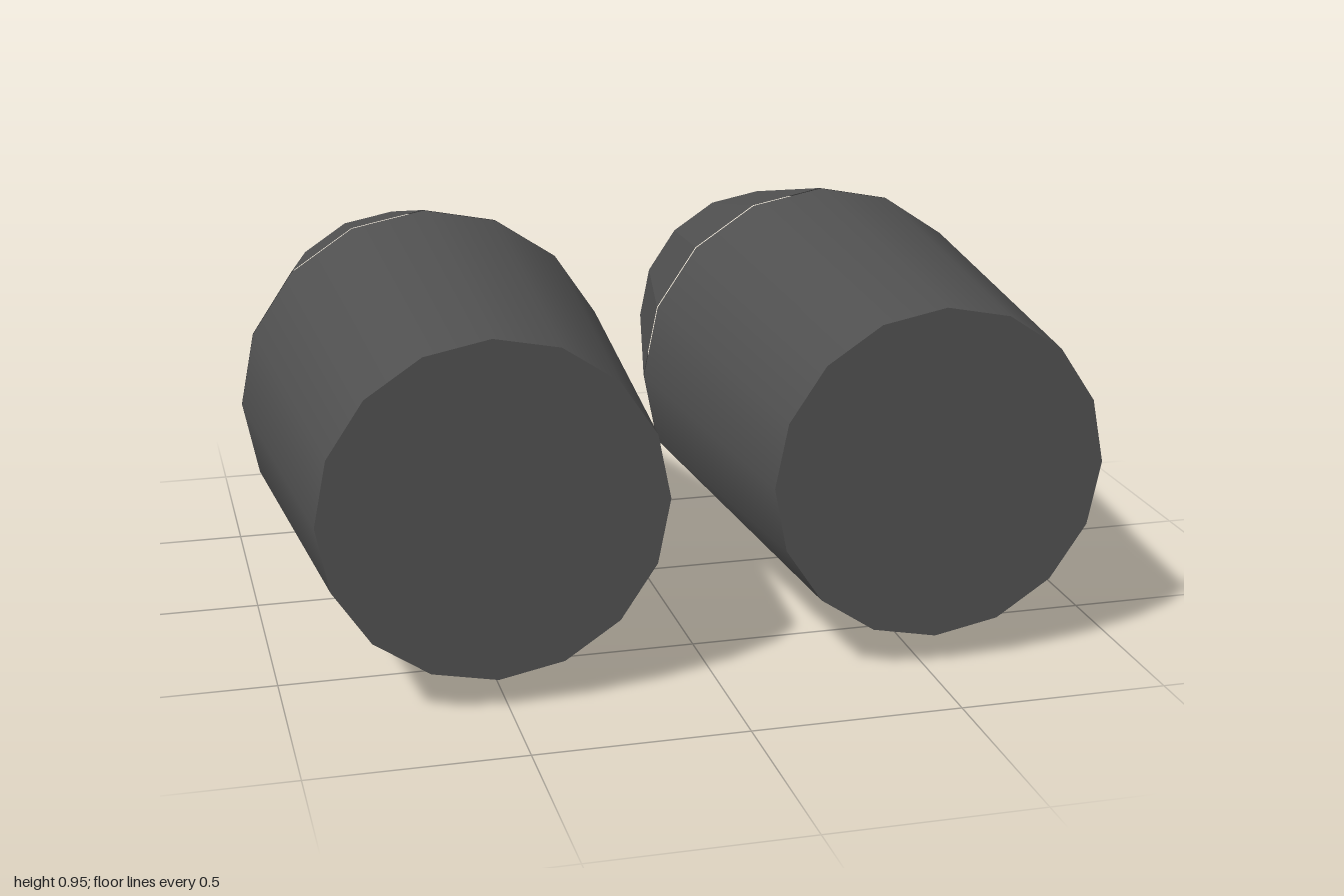
import * as THREE from 'three';

const SIDES = 16;
const WIDE = 0.476;      // radius at the seam between body and nozzle
const CENTER_Y = 0.479;

// Tapered 16-sided tube along z, from zBack to zFront. The corner of the wide
// ring that points down and inward is flattened onto the chord of its neighbours.
function taperedTube(rFront, rBack, zFront, zBack, open, side) {
  const geo = new THREE.CylinderGeometry(rFront, rBack, zFront - zBack, SIDES, 1, open);
  geo.rotateX(Math.PI / 2);
  geo.translate(0, 0, (zFront + zBack) / 2);
  const pos = geo.attributes.position;
  const flat = Math.cos((2 * Math.PI) / SIDES);
  const corner = WIDE * Math.SQRT1_2;
  for (let i = 0; i < pos.count; i++) {
    const x = pos.getX(i), y = pos.getY(i);
    if (Math.hypot(x + side * corner, y + corner) < 0.01) {
      pos.setXY(i, x * flat, y * flat);
    }
  }
  return geo;
}

function createPod(side) {
  const pod = new THREE.Group();
  pod.name = side > 0 ? 'leftPod' : 'rightPod';

  // Closed body with smooth sides and flat ends
  const body = new THREE.Mesh(
    taperedTube(0.402, WIDE, 0.755, -0.177, false, side),
    new THREE.MeshStandardMaterial({ color: 0x505050 })
  );
  body.name = 'body';

  // Open faceted nozzle behind a hairline gap
  const nozzle = new THREE.Mesh(
    taperedTube(WIDE, 0.343, -0.183, -0.755, true, side),
    new THREE.MeshStandardMaterial({ color: 0x505050, flatShading: true, side: THREE.DoubleSide })
  );
  nozzle.name = 'nozzle';

  pod.add(body, nozzle);
  pod.position.set(side * 0.524, CENTER_Y, 0);
  return pod;
}

export function createModel() {
  const model = new THREE.Group();
  model.name = 'twinThrusters';
  for (const side of [1, -1]) model.add(createPod(side));
  return model;
}
